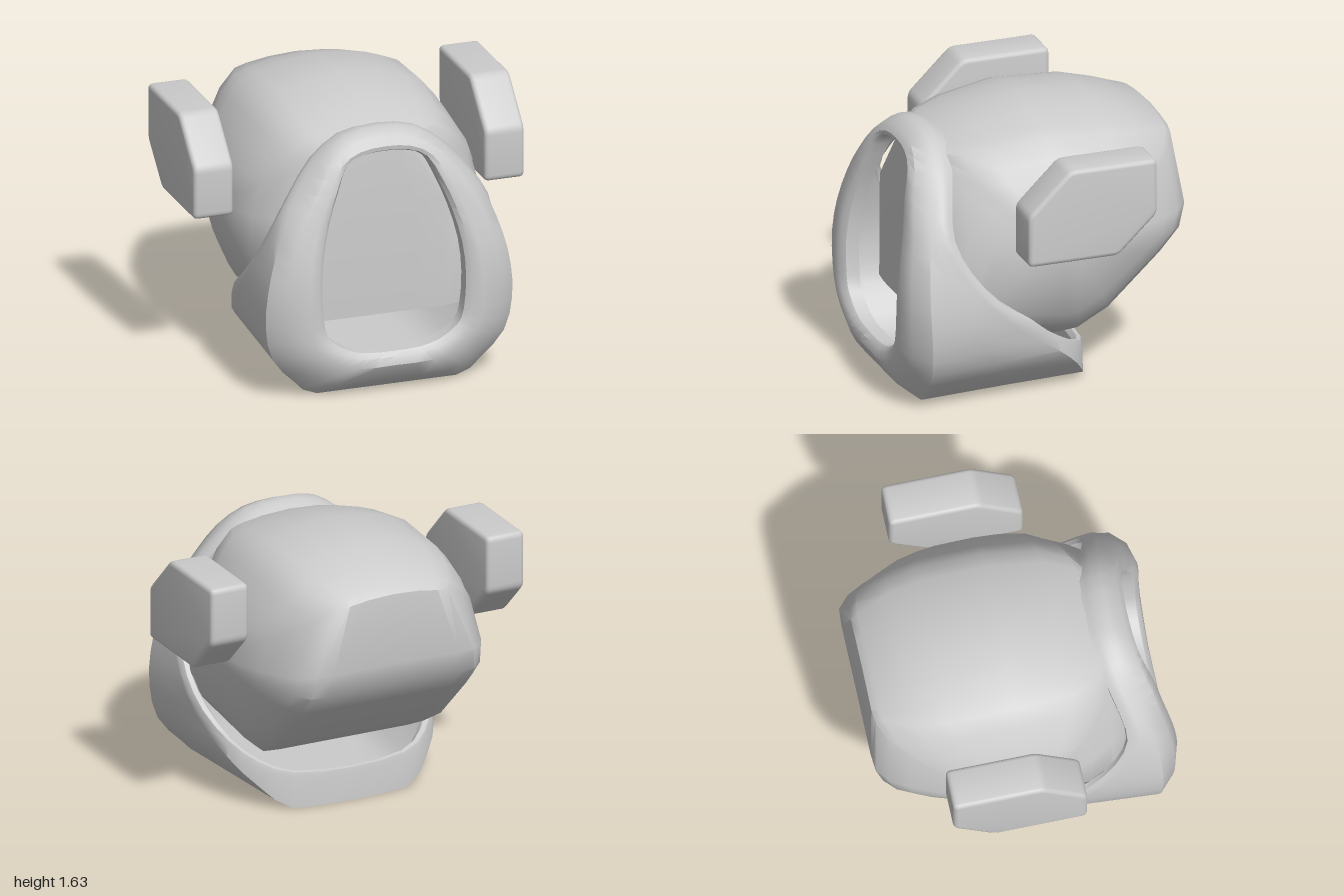
import * as THREE from 'three';
import { toCreasedNormals } from 'three/addons/utils/BufferGeometryUtils.js';

const material = new THREE.MeshStandardMaterial({ color: 0xcccccc, side: THREE.DoubleSide });
const { lerp, clamp } = THREE.MathUtils;

// Skin a list of closed cross-sections; optionally join the last one to the first.
function loft(rings, closed, crease) {
  const n = rings[0].length, index = [];
  const count = closed ? rings.length : rings.length - 1;
  for (let i = 0; i < count; i++) {
    for (let j = 0; j < n; j++) {
      const a = i * n + j, b = i * n + (j + 1) % n;
      const i2 = ((i + 1) % rings.length) * n;
      const c = i2 + j, d = i2 + (j + 1) % n;
      index.push(a, c, d, a, d, b);
    }
  }
  const g = new THREE.BufferGeometry();
  g.setAttribute('position', new THREE.Float32BufferAttribute(rings.flat(2), 3));
  g.setIndex(index);
  return toCreasedNormals(g, crease);
}

function addMesh(group, name, geometry) {
  const mesh = new THREE.Mesh(geometry, material);
  mesh.name = name;
  group.add(mesh);
  return mesh;
}

// Rounded body: a central panel wrapped around a side outline, with bulging flanks.
function bodyGeometry() {
  // z, y, half width of the central panel
  const outline = [
    [0.59, 1.44, 0.2], [0.45, 1.5, 0.38], [0.28, 1.56, 0.45], [-0.05, 1.63, 0.48], [-0.44, 1.605, 0.48],
    [-0.62, 1.55, 0.45], [-0.81, 1.48, 0.37], [-0.85, 1.44, 0.35], [-0.88, 1.03, 0.5], [-0.84, 0.88, 0.52],
    [-0.72, 0.75, 0.53], [-0.4, 0.45, 0.53], [-0.22, 0.34, 0.51], [-0.1, 0.32, 0.49], [0.62, 0.4, 0.48],
    [0.62, 1.05, 0.47],
  ];
  // share of panel width, share of flank width, depth, upper and lower height scales
  const half = [
    [0, 0, 1, 1, 1], [0.45, 0, 1, 1, 1], [0.8, 0, 1, 1, 1], [1, 0, 0.99, 1, 0.99],
    [1, 0.29, 0.91, 0.83, 0.88], [1, 0.5, 0.79, 0.68, 0.74], [1, 0.75, 0.59, 0.48, 0.52],
    [1, 0.91, 0.37, 0.26, 0.3], [1, 0.99, 0.1, 0.07, 0.1], [1, 1, 0, 0, 0],
  ];
  const cy = 0.95, cz = -0.05;
  const ring = ([panel, flank, sz, up, low], side) => outline.map(([z, y, w]) => {
    const arch = 1 - 0.16 * (panel * w / 0.48) ** 2;
    const sy = y > cy ? up * arch : low;
    return [side * lerp(panel * w, 0.76, flank), cy + (y - cy) * sy, cz + (z - cz) * sz];
  });
  const mirrored = half.slice(1).reverse().map(s => ring(s, -1));
  return loft([...mirrored, ...half.map(s => ring(s, 1))], false, 0.7);
}

// Front face curve: z of the shell front at height y.
const frontCurve = [[0, 0.85], [0.25, 0.87], [0.6, 0.875], [0.8, 0.86], [1, 0.82], [1.2, 0.78], [1.4, 0.71], [1.53, 0.66]];
function frontZ(y) {
  let i = 1;
  while (i < frontCurve.length - 1 && y > frontCurve[i][0]) i++;
  const [y0, z0] = frontCurve[i - 1], [y1, z1] = frontCurve[i];
  return lerp(z0, z1, (y - y0) / (y1 - y0));
}

// One closed section through the shell: opening, lip, outer wall, rim, inner wall.
function shellSection([ox, oy, sx, sy, rx, ry, rz]) {
  const between = (t, dz) => {
    const y = lerp(oy, sy, t);
    return [lerp(ox, sx, t), y, frontZ(y) - dz];
  };
  const rear = rz < 0.1 ? 0.05 : 0;
  const inset = ([x, y, z], dz = 0) => [x * 0.92, y + (0.75 - y) * 0.09, z + dz];
  const mid = (p, q, t) => p.map((v, i) => lerp(v, q[i], t));
  // The rim faces backwards at the top and upwards at the bottom.
  const tilt = clamp((0.55 - rz) / 0.8, 0, 1) * 1.3;
  const push = ([x, y, z], d) => [x, y + d * Math.sin(tilt), z - d * Math.cos(tilt)];
  const shoulder = [sx, sy, frontZ(sy) - 0.15 + sy * 0.045];
  const under = [rx, lerp(ry, sy, sy < 0.05 ? 1 : 0.75), rz + (rear ? 0 : 0.06)];
  const rim = [rx, ry, rz];
  const rimIn = rear ? [rx * 0.92, ry, rz + rear] : inset(rim);
  return [
    [ox, oy, frontZ(oy) - 0.12], [ox, oy, frontZ(oy) - 0.04],
    between(0.1, 0.012), between(0.3, 0), between(0.7, 0.05 - 0.025 * sy),
    shoulder, mid(shoulder, under, 0.5), under, push(rim, -0.025),
    push(mid(rim, rimIn, 0.25), 0.005), push(mid(rim, rimIn, 0.7), 0.008), push(rimIn, -0.02),
    inset(under, rear), inset(shoulder),
  ];
}

// Stations from top to bottom: opening x y, shoulder x y, rim x y z
function shellGeometry() {
  const half = [
    [0, 1.41, 0, 1.53, 0, 1.51, 0.45],
    [0.13, 1.4, 0.22, 1.5, 0.22, 1.49, 0.47],
    [0.23, 1.36, 0.38, 1.38, 0.4, 1.37, 0.5],
    [0.3, 1.23, 0.5, 1.22, 0.54, 1.2, 0.55],
    [0.37, 1.05, 0.61, 1.06, 0.64, 1.04, 0.57],
    [0.42, 0.85, 0.69, 0.85, 0.7, 0.85, 0.49],
    [0.435, 0.65, 0.735, 0.65, 0.735, 0.65, 0.33],
    [0.42, 0.45, 0.745, 0.45, 0.73, 0.5, 0.14],
    [0.38, 0.36, 0.7, 0.25, 0.66, 0.37, -0.06],
    [0.27, 0.285, 0.56, 0.09, 0.54, 0.27, -0.21],
    [0.15, 0.255, 0.42, 0, 0.36, 0.21, -0.31],
    [0, 0.25, 0, 0, 0, 0.19, -0.34],
  ].map(shellSection);
  const mirrored = half.slice(1, -1).reverse().map(s => s.map(([x, y, z]) => [-x, y, z]));
  const rings = [...half, ...mirrored];
  // Smooth each lengthwise line around the opening, keeping the base flat.
  const lines = rings[0].map((_, j) => new THREE.CatmullRomCurve3(
    rings.map(r => new THREE.Vector3(...r[j])), true, 'catmullrom'));
  const steps = rings.length * 2;
  const smooth = Array.from({ length: steps }, (_, i) => lines.map(line => {
    const p = line.getPoint(i / steps);
    return [p.x, Math.max(p.y, 0), p.z];
  }));
  return loft(smooth, true, 0.65);
}

// Bevelled side block with two cut, slightly rounded corners.
function blockGeometry() {
  const corners = [[0.255, 0.965], [0.255, 1.275], [0, 1.525], [-0.525, 1.525], [-0.525, 1.19], [-0.29, 0.965]]
    .map(([z, y]) => new THREE.Vector2(-z, y));
  const shape = new THREE.Shape();
  corners.forEach((c, i) => {
    const toward = q => c.clone().add(q.clone().sub(c).setLength(0.035));
    const start = toward(corners[(i + 5) % 6]), end = toward(corners[(i + 1) % 6]);
    if (i === 0) shape.moveTo(start.x, start.y);
    else shape.lineTo(start.x, start.y);
    shape.quadraticCurveTo(c.x, c.y, end.x, end.y);
  });
  shape.closePath();
  const g = new THREE.ExtrudeGeometry(shape, {
    depth: 0.19, bevelThickness: 0.025, bevelSize: 0.025, bevelOffset: -0.025, bevelSegments: 3, curveSegments: 4,
  });
  g.rotateY(Math.PI / 2).translate(-0.095, 0, 0);
  return toCreasedNormals(g, 0.65);
}

export function createModel() {
  const group = new THREE.Group();
  group.name = 'helmetHead';
  addMesh(group, 'innerBody', bodyGeometry());
  addMesh(group, 'frontShell', shellGeometry());
  const block = blockGeometry();
  for (const [name, side] of [['leftSideBlock', 1], ['rightSideBlock', -1]]) {
    addMesh(group, name, block).position.x = side * 0.88;
  }
  return group;
}
